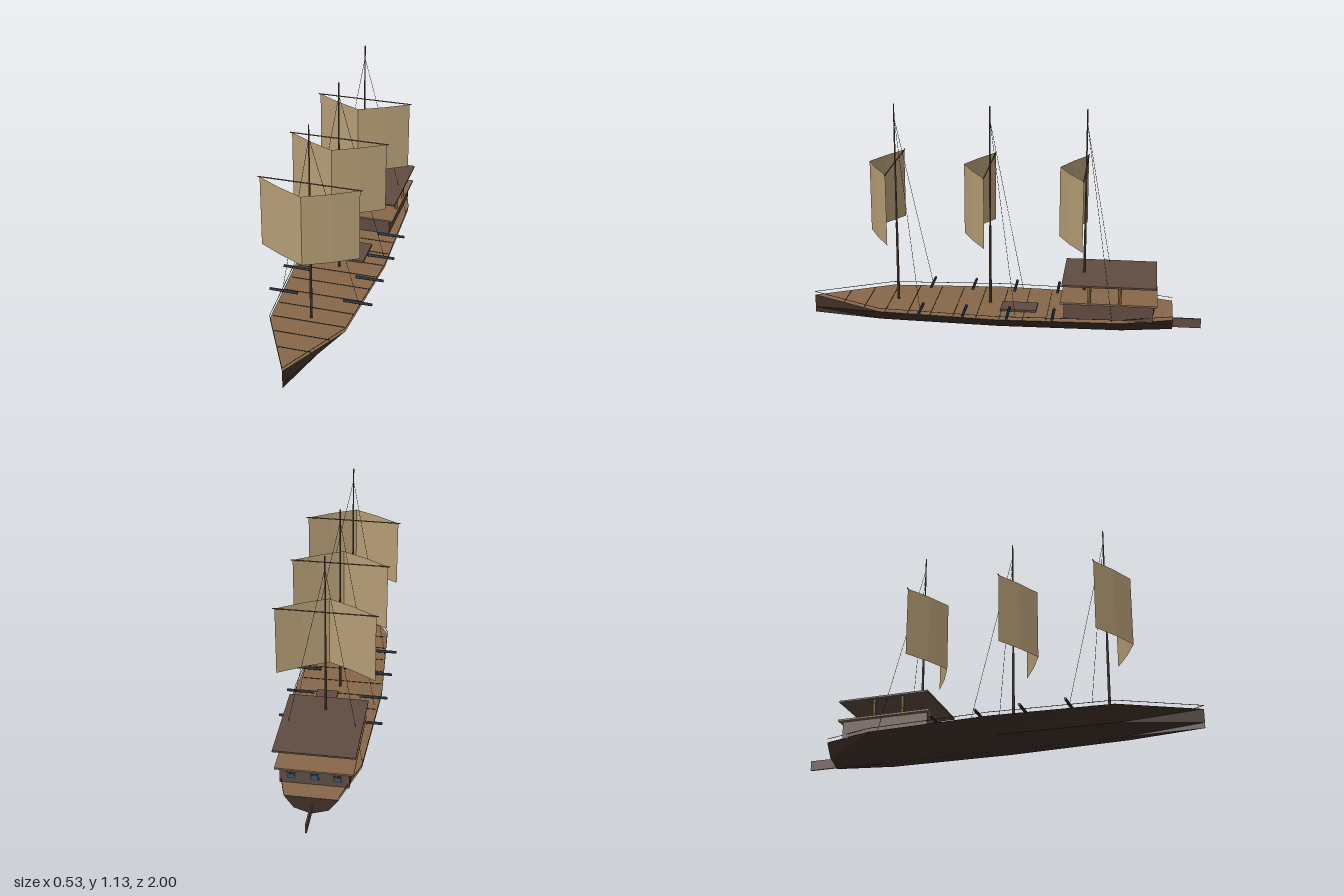
import * as THREE from 'three';

const paint = (name, color) => {
  const m = new THREE.MeshStandardMaterial({ color, side: THREE.DoubleSide, flatShading: true });
  m.name = name;
  return m;
};
const M = {
  hull: paint('dark hull wood', 0x3e2f26),
  deck: paint('deck wood', 0x87684a),
  wood: paint('brown wood', 0x5f4b40),
  sail: paint('sailcloth', 0xb49d75),
  gun: paint('blue iron', 0x2a3c48),
  post: paint('golden wood', 0x9c7b3c),
  rope: paint('dark rope', 0x2b241f),
  glass: paint('window glass', 0x3d566b),
};

// half width of the deck at stations from bow to stern: [z, half width]
const STATIONS = [[1, 0], [0.62, 0.19], [0.02, 0.228], [-0.6, 0.205], [-0.855, 0.13]];
const DECK_Y = 0.095;

function halfWidth(z) {
  for (let i = 0; i < STATIONS.length - 1; i++) {
    const [z0, w0] = STATIONS[i], [z1, w1] = STATIONS[i + 1];
    if (z <= z0 && z >= z1) return w0 + (w1 - w0) * (z0 - z) / (z0 - z1);
  }
  return 0;
}

function facets(points) {
  const g = new THREE.BufferGeometry().setFromPoints(points);
  g.computeVertexNormals();
  return g;
}

function add(parent, name, geometry, material, x = 0, y = 0, z = 0) {
  const mesh = new THREE.Mesh(geometry, material);
  mesh.name = name;
  mesh.position.set(x, y, z);
  parent.add(mesh);
  return mesh;
}

// box given by its limits
function box(parent, name, material, [x0, x1], [y0, y1], [z0, z1]) {
  return add(parent, name, new THREE.BoxGeometry(x1 - x0, y1 - y0, z1 - z0), material,
    (x0 + x1) / 2, (y0 + y1) / 2, (z0 + z1) / 2);
}

// round bar between two points
function bar(parent, name, material, a, b, r0, r1 = r0, sides = 8) {
  const p = new THREE.Vector3(...a), q = new THREE.Vector3(...b);
  const d = q.clone().sub(p);
  const mesh = add(parent, name, new THREE.CylinderGeometry(r1, r0, d.length(), sides), material);
  mesh.position.copy(p).add(q).multiplyScalar(0.5);
  mesh.quaternion.setFromUnitVectors(new THREE.Vector3(0, 1, 0), d.normalize());
  return mesh;
}

function buildHull(ship) {
  const sections = STATIONS.map(([z, w]) => [
    [w, DECK_Y], [w * 0.64, 0.028], [0, 0], [-w * 0.64, 0.028], [-w, DECK_Y],
  ].map(([x, y]) => new THREE.Vector3(x, y, z)));
  const shell = [], deck = [];
  for (let i = 0; i < sections.length - 1; i++) {
    const s = sections[i], t = sections[i + 1];
    for (let j = 0; j < 4; j++) shell.push(s[j], s[j + 1], t[j], s[j + 1], t[j + 1], t[j]);
    deck.push(s[0], t[0], s[4], s[4], t[0], t[4]);
  }
  const end = sections[sections.length - 1];
  for (let j = 1; j < 4; j++) shell.push(end[0], end[j], end[j + 1]);
  add(ship, 'hull', facets(shell), M.hull);
  add(ship, 'deck', facets(deck), M.deck);

  // plank seams across the deck
  for (let z = 0.825; z > -0.3; z -= 0.117) {
    const w = halfWidth(z) * 0.95;
    box(ship, 'plankSeam', M.rope, [-w, w], [DECK_Y, DECK_Y + 0.002], [z - 0.0015, z + 0.0015]);
  }
  // thin rails above the deck edge
  for (const side of [1, -1]) {
    for (let i = 0; i < STATIONS.length - 1; i++) {
      const [z0, w0] = STATIONS[i], [z1, w1] = STATIONS[i + 1];
      bar(ship, 'rail', M.rope, [side * w0, 0.113, z0], [side * w1, 0.113, z1], 0.0015, 0.0015, 5);
    }
  }
  box(ship, 'rudder', M.wood, [-0.004, 0.004], [0.005, 0.055], [-1, -0.84]);
  box(ship, 'hatch', M.wood, [0, 0.11], [DECK_Y, 0.105], [-0.17, 0.012]);
}

function buildCabin(ship) {
  const cabin = new THREE.Group();
  cabin.name = 'sternCabin';
  box(cabin, 'cabinWalls', M.wood, [-0.166, 0.166], [0.09, 0.177], [-0.757, -0.313]);
  box(cabin, 'upperDeck', M.deck, [-0.188, 0.188], [0.177, 0.186], [-0.775, -0.295]);
  box(cabin, 'roof', M.wood, [-0.197, 0.197], [0.273, 0.282], [-0.77, -0.302]);
  for (const x of [-0.172, 0.172])
    for (const z of [-0.44, -0.59])
      bar(cabin, 'roofPost', M.post, [x, 0.184, z], [x, 0.275, z], 0.009);
  // stern windows
  for (const x of [-0.11, 0, 0.11]) {
    box(cabin, 'windowFrame', M.gun, [x - 0.021, x + 0.021], [0.122, 0.156], [-0.76, -0.756]);
    box(cabin, 'windowPane', M.glass, [x - 0.013, x + 0.013], [0.129, 0.149], [-0.762, -0.757]);
  }
  ship.add(cabin);
}

function buildMast(ship, z) {
  const rig = new THREE.Group();
  rig.name = 'mastAndSail';
  rig.position.z = z;
  bar(rig, 'lowerMast', M.wood, [0, 0.09, 0], [0, 0.51, 0], 0.007, 0.006);
  bar(rig, 'upperMast', M.wood, [0, 0.51, 0], [0, 1.127, 0], 0.005, 0.003);
  bar(rig, 'yard', M.wood, [-0.25, 0.83, 0], [0.25, 0.83, 0], 0.003);

  // billowing sail in four flat panels
  const bulge = [0, 0.072, 0.13, 0.072, 0];
  const at = (i, y) => new THREE.Vector3(-0.24 + i * 0.12, y, bulge[i]);
  const cloth = [];
  for (let i = 0; i < 4; i++) {
    const a = at(i, 0.47), b = at(i + 1, 0.47), c = at(i + 1, 0.83), d = at(i, 0.83);
    cloth.push(a, b, c, a, c, d);
  }
  add(rig, 'sail', facets(cloth), M.sail);

  for (const side of [1, -1])
    bar(rig, 'stay', M.rope, [0, 1.06, 0], [side * 0.2, 0.1, -0.15], 0.001, 0.001, 5);
  ship.add(rig);
}

export function createModel() {
  const ship = new THREE.Group();
  ship.name = 'sailingShip';
  buildHull(ship);
  buildCabin(ship);
  for (const z of [0.555, 0.075, -0.405]) buildMast(ship, z);
  // guns along both sides
  for (const z of [0.405, 0.183, -0.037, -0.262])
    for (const side of [1, -1])
      bar(ship, 'cannon', M.gun, [side * 0.118, 0.119, z], [side * 0.263, 0.119, z], 0.008, 0.007);
  return ship;
}
